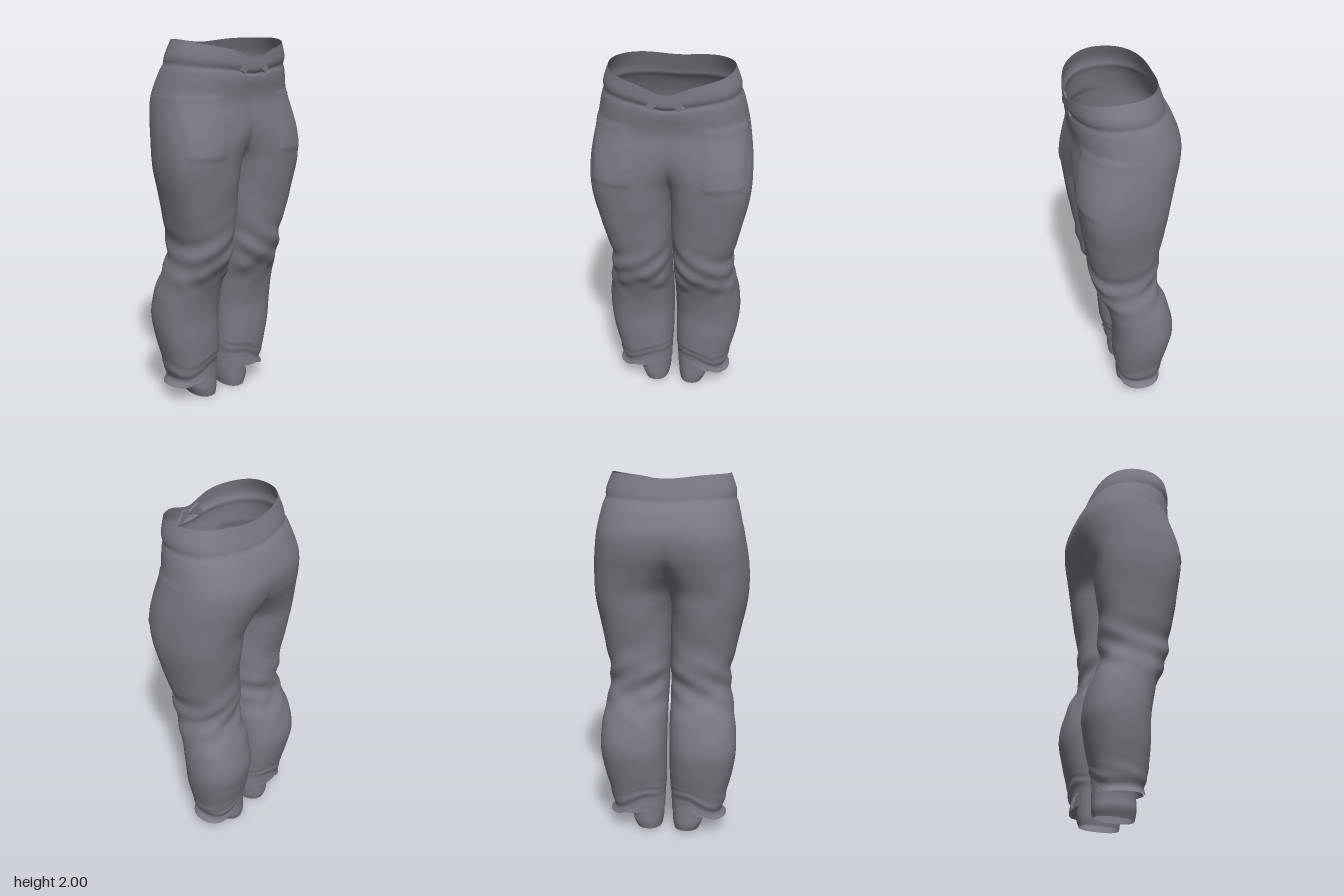
import * as THREE from 'three';
import { mergeGeometries, mergeVertices } from 'three/addons/utils/BufferGeometryUtils.js';

const { smoothstep, clamp } = THREE.MathUtils;
const COLS = 64;
const bell = (v, centre, width) => Math.exp(-(((v - centre) / width) ** 2));

// Sections of one side: height, outer x, inner x, front z, back z
const LEG = [
  [2.0, 0.315, -0.315, 0.274, -0.165], [1.93, 0.342, -0.342, 0.275, -0.188],
  [1.88, 0.35, -0.35, 0.268, -0.205], [1.8, 0.37, -0.35, 0.266, -0.245],
  [1.7, 0.392, -0.29, 0.252, -0.276], [1.6, 0.41, -0.21, 0.264, -0.266],
  [1.5, 0.422, -0.1, 0.272, -0.234], [1.4, 0.424, -0.02, 0.272, -0.207],
  [1.3, 0.413, 0, 0.262, -0.196], [1.2, 0.396, 0, 0.247, -0.18],
  [1.08, 0.368, 0, 0.232, -0.162], [0.97, 0.342, 0.003, 0.216, -0.164],
  [0.87, 0.338, 0.006, 0.202, -0.152], [0.78, 0.35, 0.008, 0.168, -0.17],
  [0.68, 0.368, 0.008, 0.125, -0.215], [0.52, 0.382, 0.009, 0.092, -0.25],
  [0.38, 0.367, 0.01, 0.09, -0.232], [0.25, 0.336, 0.012, 0.084, -0.208],
  [0.18, 0.324, 0.015, 0.076, -0.2], [0.135, 0.308, 0.018, 0.064, -0.188],
  [0.1, 0.332, 0.018, 0.064, -0.188],
];
const ANKLE = [
  [0.108, 0.31, 0.02, 0.06, -0.182], [0.125, 0.205, 0.026, 0.052, -0.172],
  [0.06, 0.2, 0.028, 0.053, -0.174], [0.004, 0.18, 0.036, 0.046, -0.165],
];

// Smooth interpolation through the sections
function sampler(rows) {
  const curve = pick => new THREE.CatmullRomCurve3(rows.map(pick), false, 'catmullrom', 0.5);
  const a = curve(r => new THREE.Vector3(r[0], r[1], r[2]));
  const b = curve(r => new THREE.Vector3(r[3], r[4], 0));
  return t => {
    const p = a.getPoint(t), q = b.getPoint(t);
    return [p.x, p.y, p.z, q.x, q.y];
  };
}

// Rounded outline of a section, fuller than an ellipse.
// u runs -1..1 round the outside; above the crotch it stops on the centre plane.
function outline([y, outer, inner, front, back], u) {
  const e = 0.86, cx = (outer + inner) / 2, a = (outer - inner) / 2;
  const angle = u * Math.acos(-Math.pow(clamp(cx / a, 0, 1), 1 / e));
  const c = Math.cos(angle), s = Math.sin(angle);
  const zc = (front + back) / 2 + 0.055 * smoothstep(y, 0.9, 1.3) * (1 - smoothstep(y, 1.5, 1.8));
  const p = new THREE.Vector3(
    Math.max(0, cx + a * Math.sign(c) * Math.abs(c) ** e), y,
    zc + (s > 0 ? front - zc : zc - back) * Math.sign(s) * Math.abs(s) ** e);
  if (Math.abs(u) === 1 && inner <= 0) p.x = 0;
  return { p, c, s, u };
}

// Cloth relief, waist rim and hem slope
function tailor({ p, c, s, u }) {
  const { x, y, z } = p;
  let push = 0.006 * bell(y, 0.88, 0.14) * Math.sin(46 * y + 5 * c + 2 * s);
  push += 0.003 * bell(y, 0.75, 0.12) * Math.sin(34 * y - 7 * c + 3 * s);
  push += 0.002 * bell(y, 1.2, 0.3) * Math.sin(22 * y + 4 * c);
  push += 0.002 * bell(y, 0.2, 0.05) * Math.sin(70 * y + 4 * s);
  push -= 0.005 * bell(y, 1.875, 0.016);
  // Patch pocket on the front of the thigh
  if (z > 0) {
    push += 0.007 * smoothstep(x, 0.18, 0.2) * (1 - smoothstep(x, 0.37, 0.4))
      * smoothstep(y, 1.4, 1.43) * (1 - smoothstep(y, 1.715, 1.735));
  }
  p.x = Math.max(0, x + c * push * (1 - smoothstep(Math.abs(u), 0.7, 1)));
  p.z += s * push;
  // Waist dips toward the drawstring and a little at the back
  const top = smoothstep(y, 1.75, 2);
  p.y -= top * (z > 0
    ? (0.02 + 0.03 * bell(x, 0, 0.24) + 0.04 * bell(x, 0, 0.1)) * smoothstep(z, 0.05, 0.27)
    : 0.02 * bell(x, 0, 0.15) * smoothstep(-z, 0, 0.15));
  // Hem rides higher on the inside of the leg
  p.y += 0.085 * (1 - smoothstep(y, 0.1, 0.4)) * (1 - smoothstep(x, 0.1, 0.29));
  return p;
}

// Ankle sleeve: follows the hem at the top, cut slightly higher at the back
function tuck({ p, s }) {
  p.y += 0.06 * smoothstep(p.y, 0.1, 0.125) * (1 - smoothstep(p.x, 0.1, 0.29));
  p.y += 0.012 * (1 - smoothstep(p.y, 0, 0.05)) * (0.5 - 0.5 * s);
  return p;
}

// Loft one side through its sections
function loft(rows, steps, shape) {
  const at = sampler(rows), pos = [], idx = [];
  for (let i = 0; i <= steps; i++) {
    const section = at(i / steps);
    for (let j = 0; j <= COLS; j++) pos.push(...shape(outline(section, (2 * j) / COLS - 1)).toArray());
  }
  for (let i = 0; i < steps; i++) {
    for (let j = 0; j < COLS; j++) {
      const a = i * (COLS + 1) + j, c = a + COLS + 1;
      idx.push(a, a + 1, c, a + 1, c + 1, c);
    }
  }
  const g = new THREE.BufferGeometry();
  g.setAttribute('position', new THREE.Float32BufferAttribute(pos, 3));
  g.setIndex(idx);
  return g;
}

// Join a side with its mirror image and weld the seams
function bothSides(g) {
  const m = g.clone().scale(-1, 1, 1);
  const idx = Array.from(g.index.array);
  for (let i = 0; i < idx.length; i += 3) [idx[i], idx[i + 1]] = [idx[i + 1], idx[i]];
  m.setIndex(idx);
  const whole = mergeVertices(mergeGeometries([g, m]), 1e-5);
  whole.computeVertexNormals();
  return whole;
}

export function createModel() {
  const group = new THREE.Group();
  const cloth = new THREE.MeshStandardMaterial({ color: 0x797a82, side: THREE.DoubleSide });
  cloth.name = 'greyCloth';
  const add = (name, geometry) => {
    const mesh = new THREE.Mesh(geometry, cloth);
    mesh.name = name;
    group.add(mesh);
    return mesh;
  };

  add('trousers', bothSides(loft(LEG, 160, tailor)));
  add('ankleSleeves', bothSides(loft(ANKLE, 18, tuck)));

  // Drawstring bow: a small knot with a loose flap on each side
  const flap = new THREE.Shape([[0, 0.012], [0.05, 0.022], [0.06, -0.005], [0.085, -0.03], [0.06, -0.044], [0.03, -0.022], [0, -0.012]]
    .map(([x, y]) => new THREE.Vector2(x, y)));
  const flapGeometry = new THREE.ExtrudeGeometry(flap, {
    depth: 0.006, bevelEnabled: true, bevelSize: 0.003, bevelThickness: 0.003, bevelSegments: 2,
  });
  for (const side of [-1, 1]) {
    const mesh = add(side > 0 ? 'leftDrawstringFlap' : 'rightDrawstringFlap', flapGeometry);
    mesh.position.set(side * 0.008, 1.88, 0.264);
    mesh.scale.x = side;
  }
  const knot = add('drawstringKnot', new THREE.SphereGeometry(0.014, 16, 10));
  knot.position.set(0, 1.88, 0.266);
  knot.scale.set(1.2, 0.9, 0.7);
  return group;
}
